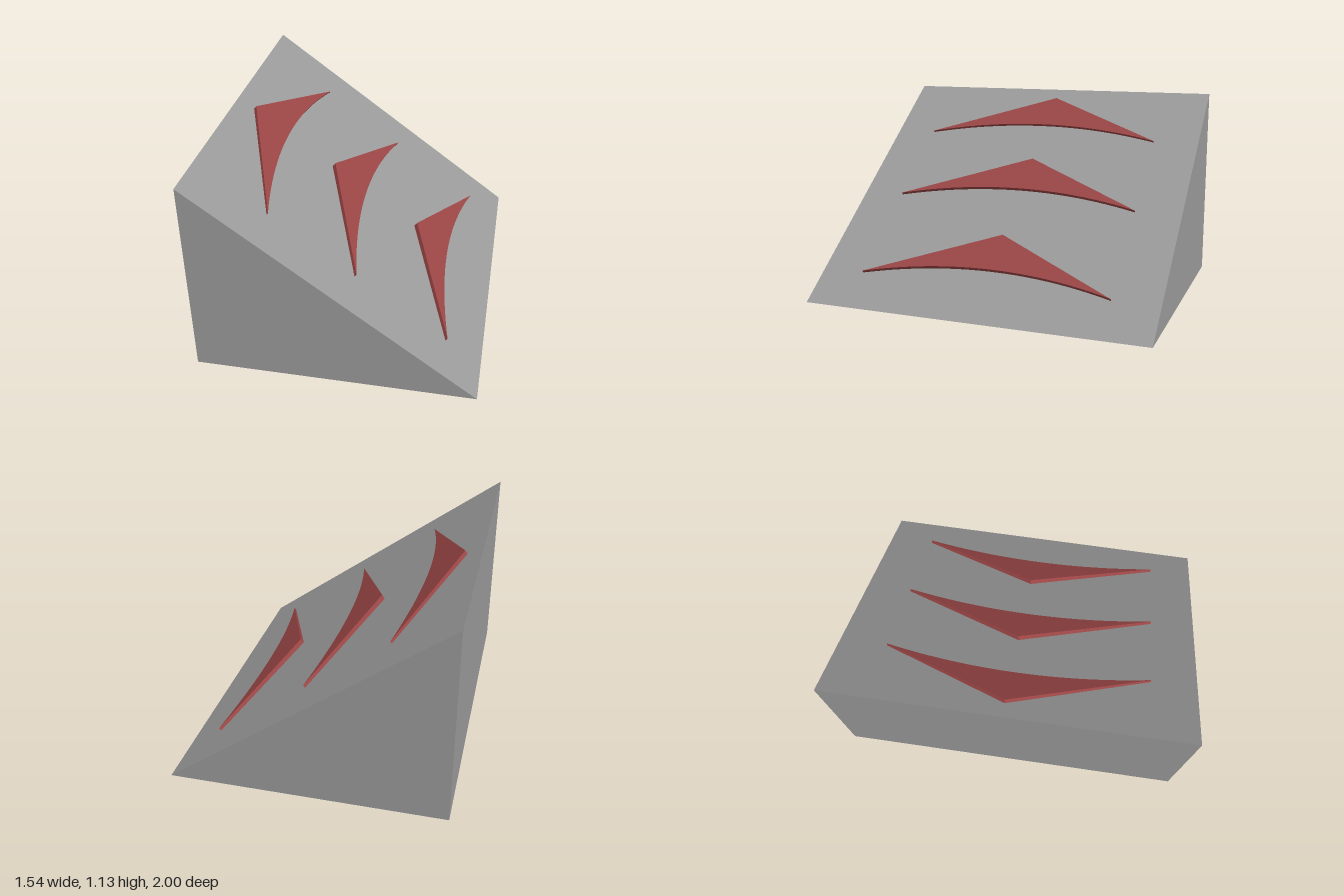
import * as THREE from 'three';

const HALF_W = 0.77, HEIGHT = 1.127, DEPTH = 2;

// Triangular ramp block
function makeWedge() {
  const profile = new THREE.Shape();
  profile.moveTo(-HALF_W, 0);
  profile.lineTo(HALF_W, 0);
  profile.lineTo(-HALF_W, HEIGHT);
  profile.closePath();
  const geometry = new THREE.ExtrudeGeometry(profile, { depth: DEPTH, bevelEnabled: false });
  geometry.translate(0, 0, -DEPTH / 2);
  return geometry;
}

// Swept chevron: pointed uphill edge, curved downhill edge; top face at y = 0
function makeChevron() {
  const thickness = 0.036;
  const outline = new THREE.Shape();
  outline.moveTo(0, 0.022);
  outline.lineTo(0.352, -0.742);
  outline.quadraticCurveTo(0.146, 0, 0.352, 0.734);
  outline.closePath();
  const geometry = new THREE.ExtrudeGeometry(outline, {
    depth: thickness, bevelEnabled: false, curveSegments: 24,
  });
  geometry.rotateX(-Math.PI / 2);
  geometry.translate(0, -thickness, 0);
  return geometry;
}

export function createModel() {
  const model = new THREE.Group();
  model.name = 'chevronRamp';

  const grey = new THREE.MeshStandardMaterial({ color: 0x9b9b9b });
  const red = new THREE.MeshStandardMaterial({ color: 0x9a4545 });

  const ramp = new THREE.Mesh(makeWedge(), grey);
  ramp.name = 'ramp';
  model.add(ramp);

  // Three raised chevrons down the slope, placed by their uphill points
  const chevron = makeChevron();
  const apexes = [[-0.666, 1.08], [-0.201, 0.745], [0.302, 0.378]];
  apexes.forEach(([x, y], i) => {
    const mesh = new THREE.Mesh(chevron, red);
    mesh.name = `chevron${i + 1}`;
    mesh.position.set(x, y, 0);
    mesh.rotation.z = THREE.MathUtils.degToRad(-37.9);
    model.add(mesh);
  });

  return model;
}
